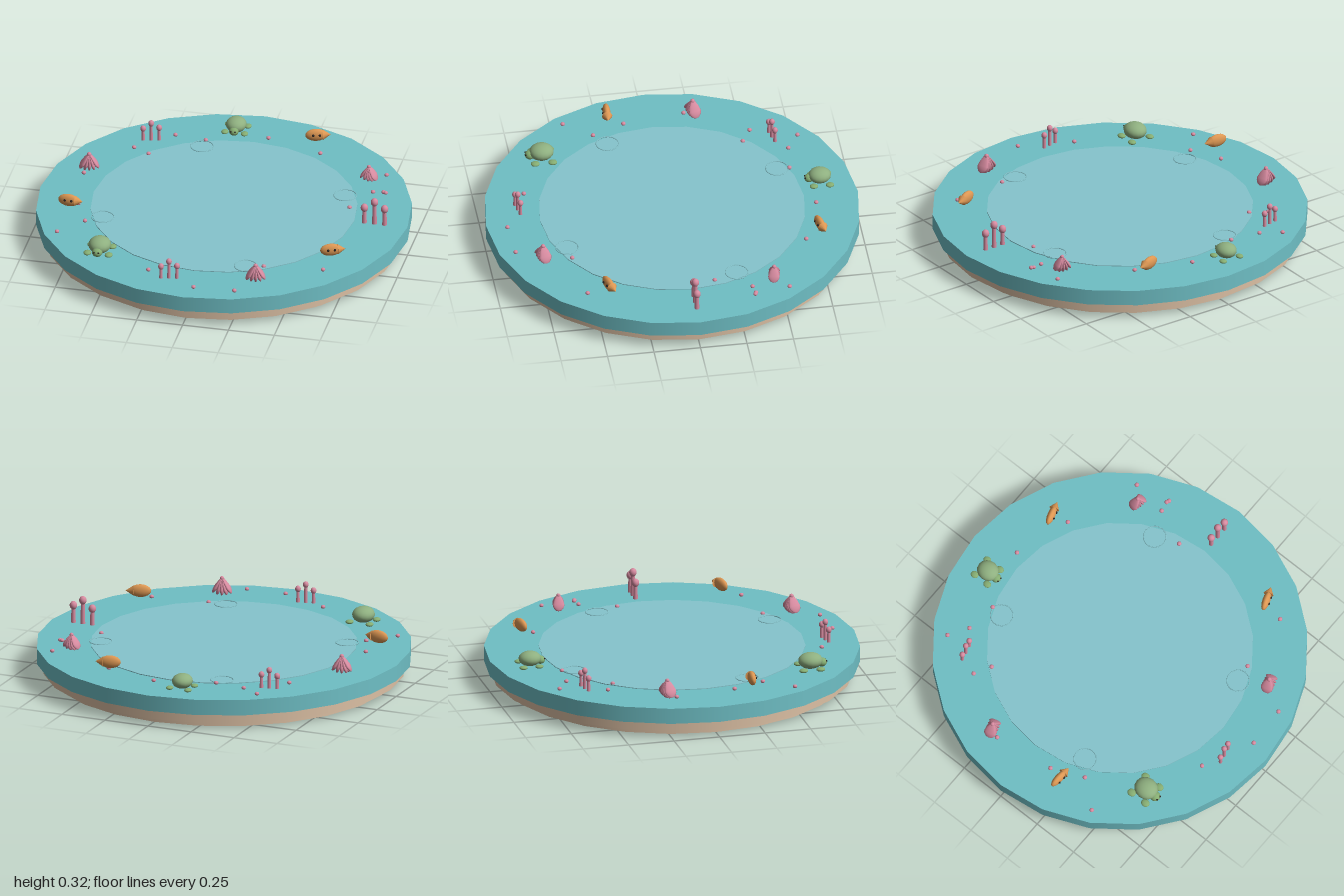
import * as THREE from 'three';

const mat = (color, extra = {}) => new THREE.MeshStandardMaterial({ color, ...extra });
const TEAL = mat(0x6fbfc5), WATER = mat(0x86c5cd), SAND = mat(0xdcc0a4), PINK = mat(0xd78ba0);
const ORANGE = mat(0xdd9753), SHELL = mat(0x8fb080), SKIN = mat(0x86ad72), DARK = mat(0x2a2422);
const TOP = 0.17;

function add(parent, name, geometry, material, x = 0, y = 0, z = 0) {
  const mesh = new THREE.Mesh(geometry, material);
  mesh.name = name;
  mesh.position.set(x, y, z);
  parent.add(mesh);
  return mesh;
}

const ball = (rx, ry = rx, rz = rx) => new THREE.SphereGeometry(1, 16, 12).scale(rx, ry, rz);

// Round tier of the stand, from y0 to y1
function tier(parent, name, r, y0, y1, material) {
  add(parent, name, new THREE.CylinderGeometry(r, r, y1 - y0, 24), material, 0, (y0 + y1) / 2, 0);
}

// Three upright stalks with round tips
function coral() {
  const g = new THREE.Group();
  g.name = 'coral';
  [[-0.055, 0.09], [0, 0.13], [0.055, 0.095]].forEach(([x, h]) => {
    add(g, 'coralStalk', new THREE.CylinderGeometry(0.01, 0.013, h, 10), PINK, x, h / 2, 0);
    add(g, 'coralTip', ball(0.02, 0.023, 0.02), PINK, x, h, 0);
  });
  return g;
}

// Scallop shell: teardrop ribs fanning down from a hinge at the top
function scallop() {
  const g = new THREE.Group();
  g.name = 'scallop';
  const profile = [[0.001, -0.1], [0.018, -0.095], [0.031, -0.078], [0.034, -0.062], [0.025, -0.032], [0.009, -0.004], [0.001, 0]];
  const rib = new THREE.LatheGeometry(profile.map(p => new THREE.Vector2(...p)), 14).scale(0.33, 1, 1);
  for (let i = -2; i <= 2; i++) {
    add(g, 'scallopRib', rib, PINK, 0, 0.1, 0).rotation.z = i * 0.27;
  }
  add(g, 'scallopHinge', ball(0.012), PINK, 0, 0.095, 0);
  return g;
}

// Fish floating just above the rim, tail towards +x
function fish() {
  const g = new THREE.Group();
  g.name = 'fish';
  add(g, 'fishBody', ball(0.057, 0.035, 0.021), ORANGE, -0.008, 0.07, 0);
  const tail = new THREE.ConeGeometry(0.028, 0.042, 12).rotateZ(-Math.PI / 2);
  add(g, 'fishTail', tail, ORANGE, 0.05, 0.07, 0);
  for (const x of [-0.024, 0.012]) add(g, 'fishEye', ball(0.007), DARK, x, 0.076, 0.019);
  return g;
}

// Turtle facing +z
function turtle() {
  const g = new THREE.Group();
  g.name = 'turtle';
  add(g, 'turtleShell', ball(0.06, 0.043, 0.066), SHELL, 0, 0.046, 0);
  add(g, 'turtleHead', ball(0.028, 0.024, 0.028), SKIN, 0, 0.032, 0.062);
  for (const s of [-1, 1]) {
    add(g, 'turtleEye', ball(0.005), DARK, s * 0.012, 0.04, 0.085);
    for (const z of [-0.052, 0.042]) add(g, 'turtleFlipper', ball(0.021, 0.011, 0.024), SKIN, s * 0.058, 0.012, z);
  }
  return g;
}

export function createModel() {
  const model = new THREE.Group();
  model.name = 'pool';

  // Stacked tiers and water surface
  tier(model, 'lowerBase', 0.92, 0, 0.035, SAND);
  tier(model, 'upperBase', 0.965, 0.03, 0.09, SAND);
  tier(model, 'rim', 1, 0.085, TOP, TEAL);
  tier(model, 'water', 0.71, TOP - 0.01, TOP + 0.004, WATER);

  // Ripple rings near the water's edge
  const ripple = new THREE.TorusGeometry(0.06, 0.003, 6, 28).rotateX(Math.PI / 2);
  for (let i = 0; i < 4; i++) {
    const a = 0.4 + i * Math.PI / 2;
    add(model, 'ripple', ripple, WATER, 0.655 * Math.sin(a), TOP + 0.005, 0.655 * Math.cos(a));
  }

  // Sea life evenly spaced around the rim: maker, turn, scale
  const life = [
    [coral, 0, 1], [fish, 0.36, 1], [scallop, 0.27, 1], [coral, 0.2, 0.77],
    [turtle, 0, 1], [fish, -0.05, 1], [scallop, 0.27, 1], [coral, 0.24, 0.77],
    [turtle, 0, 0.92], [fish, 0.28, 1], [scallop, -0.2, 0.9],
  ];
  life.forEach(([make, turn, scale], i) => {
    const a = i / life.length * Math.PI * 2;
    const item = make();
    item.position.set(0.82 * Math.cos(a), TOP, 0.82 * Math.sin(a));
    item.rotation.y = turn;
    item.scale.setScalar(scale);
    model.add(item);
  });

  // Scattered pebbles
  const pebble = ball(0.012, 0.01, 0.012);
  [
    [-0.525, -0.755], [-0.42, -0.69], [-0.605, -0.51], [-0.515, -0.46], [-0.25, -0.67], [0.07, -0.765],
    [0.375, -0.665], [0.77, -0.515], [0.74, -0.32], [0.795, -0.33], [0.808, -0.325], [0.655, -0.13],
    [-0.805, -0.185], [-0.76, 0.145], [-0.685, 0.32], [-0.805, 0.465], [-0.24, 0.76], [0.035, 0.89],
    [0.255, 0.88], [0.35, 0.59], [0.665, 0.555],
  ].forEach(([x, z]) => add(model, 'pebble', pebble, PINK, x, TOP + 0.007, z));

  return model;
}
